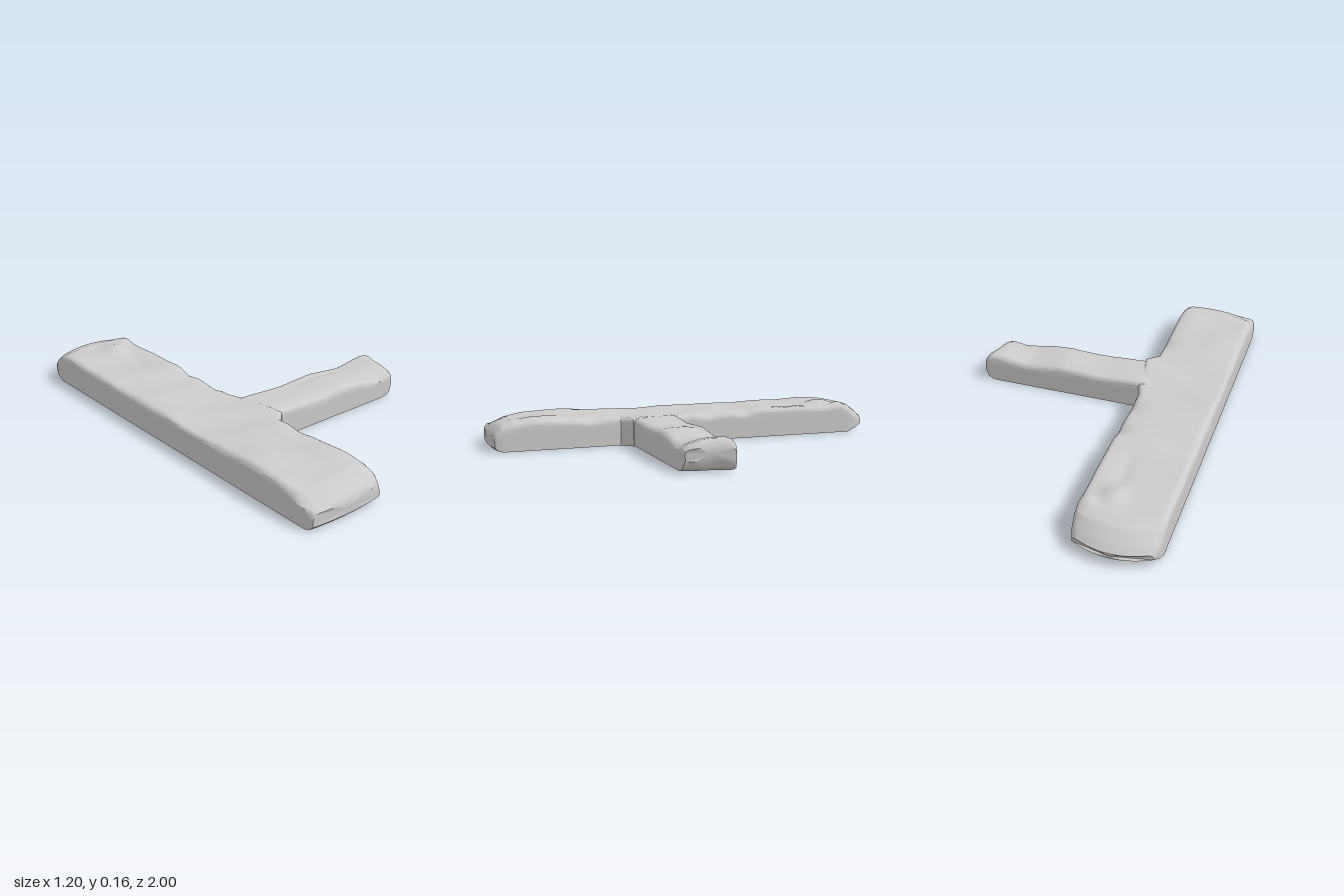
import * as THREE from 'three';
import { toCreasedNormals } from 'three/addons/utils/BufferGeometryUtils.js';

const material = new THREE.MeshStandardMaterial({ color: 0xcccccc });
const { smoothstep, lerp } = THREE.MathUtils;
const mound = (x, z, cx, cz, rx, rz, h) => h * Math.exp(-(((x - cx) / rx) ** 2) - ((z - cz) / rz) ** 2);

// Linear interpolation between rows of [s, left, right, bottom, top, cornerRadius]
function station(rows, s) {
  let i = 0;
  while (i < rows.length - 2 && s > rows[i + 1][0]) i++;
  const k = (s - rows[i][0]) / (rows[i + 1][0] - rows[i][0]);
  return rows[i].map((v, n) => lerp(v, rows[i + 1][n], k));
}

// Flat-bottomed section with rounded top corners, counterclockwise
function section([, a, b, y0, y1, radius]) {
  const pts = [];
  const r = Math.min(radius, (y1 - y0) * 0.8);
  for (let i = 0; i < 10; i++) pts.push([lerp(a, b, i / 10), y0]);
  for (let i = 0; i < 4; i++) pts.push([b, lerp(y0, y1 - r, i / 4)]);
  for (let i = 0; i < 6; i++) {
    const t = (i / 6) * Math.PI / 2;
    pts.push([b - r + r * Math.cos(t), y1 - r + r * Math.sin(t)]);
  }
  for (let i = 0; i < 24; i++) pts.push([lerp(b - r, a + r, i / 24), y1]);
  for (let i = 0; i < 6; i++) {
    const t = (1 + i / 6) * Math.PI / 2;
    pts.push([a + r + r * Math.cos(t), y1 - r + r * Math.sin(t)]);
  }
  for (let i = 0; i < 4; i++) pts.push([a, lerp(y1 - r, y0, i / 4)]);
  return pts;
}

// Loft a slab along z through its stations, then warp every point
function slab(name, rows, steps, warp) {
  const start = rows[0][0], end = rows[rows.length - 1][0];
  const list = new Set(rows.map((r) => r[0]));
  for (let i = 1; i < steps; i++) list.add(lerp(start, end, i / steps));
  const stops = [...list].sort((p, q) => p - q);
  const pos = [], index = [];
  let n = 0;
  for (const s of stops) {
    const ring = section(station(rows, s));
    n = ring.length;
    for (const [x, y] of ring) pos.push(...warp(x, y, s));
  }
  for (let i = 0; i < stops.length - 1; i++) {
    for (let j = 0; j < n; j++) {
      const p = i * n + j, q = i * n + (j + 1) % n;
      index.push(p, q, p + n, q, q + n, p + n);
    }
  }
  // End caps
  for (const [row, flip] of [[rows[0], true], [rows[rows.length - 1], false]]) {
    const base = flip ? 0 : (stops.length - 1) * n;
    const c = pos.length / 3;
    pos.push(...warp((row[1] + row[2]) / 2, (row[3] + row[4]) / 2, row[0]));
    for (let j = 0; j < n; j++) {
      const p = base + j, q = base + (j + 1) % n;
      index.push(c, flip ? q : p, flip ? p : q);
    }
  }
  const geo = new THREE.BufferGeometry();
  geo.setAttribute('position', new THREE.Float32BufferAttribute(pos, 3));
  geo.setIndex(index);
  const mesh = new THREE.Mesh(toCreasedNormals(geo, 0.75), material);
  mesh.name = name;
  return mesh;
}

export function createModel() {
  const model = new THREE.Group();
  model.name = 'woodenBranchBeam';

  // Long beam, widened slightly where the arm joins
  const beamRows = [
    [-1.0, -0.58, -0.24, 0.04, 0.065, 0.02],
    [-0.97, -0.595, -0.225, 0.02, 0.095, 0.03],
    [-0.92, -0.6, -0.22, 0, 0.128, 0.03],
    [-0.86, -0.6, -0.22, 0, 0.145, 0.025],
    [-0.4, -0.6, -0.22, 0, 0.145, 0.025],
    [-0.22, -0.6, -0.22, 0, 0.138, 0.03],
    [0.03, -0.6, -0.22, 0, 0.138, 0.03],
    [0.1, -0.6, -0.2, 0, 0.136, 0.02],
    [0.33, -0.6, -0.17, 0, 0.136, 0.02],
    [0.38, -0.6, -0.22, 0, 0.138, 0.03],
    [0.8, -0.6, -0.22, 0, 0.146, 0.03],
    [0.9, -0.6, -0.22, 0, 0.142, 0.04],
    [0.96, -0.6, -0.22, 0, 0.122, 0.04],
    [0.985, -0.597, -0.223, 0.005, 0.1, 0.04],
    [1.0, -0.59, -0.23, 0.02, 0.075, 0.03],
  ];
  const beam = slab('longBeam', beamRows, 130, (x, y, z) => {
    const top = smoothstep(y, 0.08, 0.13);
    const off = (x + 0.41) / 0.19;
    let h = 0.003 * Math.sin(9 * z + 7 * x) + 0.002 * Math.sin(23 * z - 11 * x);
    // Knots near the back end and the shallow trail in front of them
    h += mound(x, z, -0.35, -0.75, 0.05, 0.06, 0.022) + mound(x, z, -0.26, -0.82, 0.03, 0.04, 0.015);
    h -= mound(x, z, -0.34, -0.58, 0.03, 0.1, 0.008);
    // Worn dents along the edges
    h -= mound(x, z, -0.22, -0.28, 0.05, 0.05, 0.02) + mound(x, z, -0.22, -0.08, 0.05, 0.06, 0.015);
    h -= mound(x, z, -0.22, 0.52, 0.05, 0.06, 0.015) + mound(x, z, -0.6, 0.95, 0.12, 0.12, 0.025);
    h += mound(x, z, -0.3, 0.75, 0.06, 0.15, 0.008) + mound(x, z, -0.48, 0.55, 0.07, 0.1, 0.006);
    // Bowed ends
    const bow = 0.06 * off * off * smoothstep(-z, 0.75, 0.97);
    const frontBow = 0.015 * off * off * smoothstep(z, 0.85, 1);
    return [x, y + h * top, z + bow - frontBow];
  });

  // Side arm, lofted along z and turned to run along +x
  const armRows = [
    [-0.4, -0.325, -0.1, 0.002, 0.125, 0.02],
    [-0.2, -0.325, -0.1, 0.001, 0.137, 0.02],
    [0, -0.325, -0.1, 0.001, 0.132, 0.025],
    [0.2, -0.325, -0.1, 0.001, 0.141, 0.03],
    [0.38, -0.325, -0.1, 0.001, 0.124, 0.03],
    [0.52, -0.325, -0.1, 0.001, 0.14, 0.03],
    [0.56, -0.325, -0.1, 0.004, 0.14, 0.03],
    [0.585, -0.325, -0.1, 0.02, 0.13, 0.03],
    [0.6, -0.318, -0.105, 0.05, 0.11, 0.03],
  ];
  const arm = slab('sideArm', armRows, 70, (x, y, z) => {
    const top = smoothstep(y, 0.08, 0.13);
    let h = 0.002 * Math.sin(17 * z + 13 * x);
    // Groove by the back edge, worn front corner
    h -= mound(x, z, -0.15, 0.2, 0.025, 0.16, 0.008);
    h -= mound(x, z, -0.33, 0.5, 0.07, 0.12, 0.03);
    h -= mound(x, z, -0.33, 0.05, 0.04, 0.2, 0.01);
    const slant = 0.2 * (-0.1 - x) * smoothstep(z, 0.4, 0.58);
    return [x, y + h * top, z - slant + 0.004 * Math.sin(40 * x) * smoothstep(z, 0.5, 0.58)];
  });
  arm.rotation.y = Math.PI / 2;

  model.add(beam, arm);
  return model;
}
